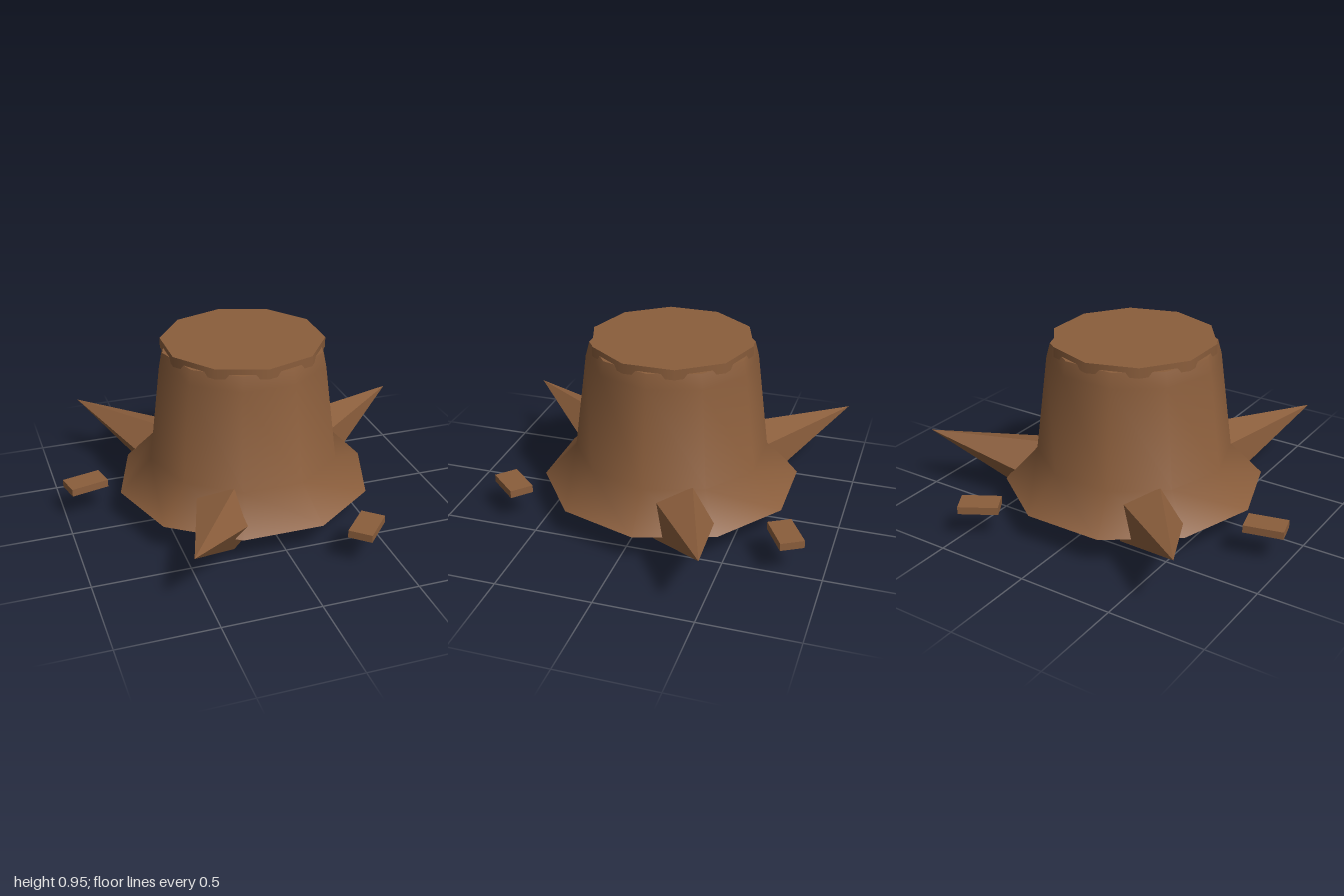
import * as THREE from 'three';

const wood = new THREE.MeshStandardMaterial({ color: 0x8b5e3c });
wood.name = 'brown wood';

const SIDES = 10;
const GROUND = 0.16; // height of the stump's underside

function part(parent, name, geometry, x = 0, y = 0, z = 0) {
  const mesh = new THREE.Mesh(geometry, wood);
  mesh.name = name;
  mesh.position.set(x, y, z);
  parent.add(mesh);
  return mesh;
}

// Gives every face its own flat normal
function faceted(geometry) {
  const flat = geometry.toNonIndexed();
  flat.computeVertexNormals();
  return flat;
}

export function createModel() {
  const model = new THREE.Group();
  model.name = 'treeStump';

  const stump = new THREE.Group();
  stump.name = 'stump';
  stump.position.set(-0.04, 0, -0.075);
  model.add(stump);

  // Trunk with flared foot, smooth around its ten sides
  const profile = [
    [0.68, GROUND], [0.51, 0.335], [0.445, 0.85], [0.425, 0.925],
  ].map(([r, y]) => new THREE.Vector2(r, y));
  part(stump, 'trunk', new THREE.LatheGeometry(profile, SIDES, Math.PI / 2));
  part(stump, 'trunkUnderside', new THREE.CircleGeometry(0.68, SIDES).rotateX(Math.PI / 2), 0, GROUND, 0);
  part(stump, 'trunkTop', new THREE.CircleGeometry(0.425, SIDES).rotateX(-Math.PI / 2), 0, 0.925, 0);

  // Cut disc, turned half a side from the trunk
  part(stump, 'cutDisc', new THREE.CylinderGeometry(0.425, 0.425, 0.053, SIDES), 0, 0.927, 0);

  // Five-sided roots pointing outward and slightly up
  const rootGeometry = faceted(new THREE.ConeGeometry(0.183, 0.66, 5, 1, false, Math.PI / 5));
  for (const degrees of [22.9, -119.4, -228.3]) {
    const pivot = new THREE.Group();
    pivot.name = 'rootPivot';
    pivot.rotation.y = THREE.MathUtils.degToRad(degrees);
    stump.add(pivot);
    const root = part(pivot, 'root', rootGeometry, 0.798, 0.255, 0);
    root.rotation.z = 0.245 - Math.PI / 2;
  }

  // Loose wood chips around the stump
  const chipGeometry = new THREE.BoxGeometry(0.204, 0.04, 0.125);
  for (const [x, z, degrees] of [[0.42, -0.795, 30], [-0.882, -0.198, 13.3], [0.36, 0.675, 48]]) {
    const chip = part(model, 'woodChip', chipGeometry, x, GROUND + 0.02, z);
    chip.rotation.y = THREE.MathUtils.degToRad(degrees);
  }

  return model;
}
